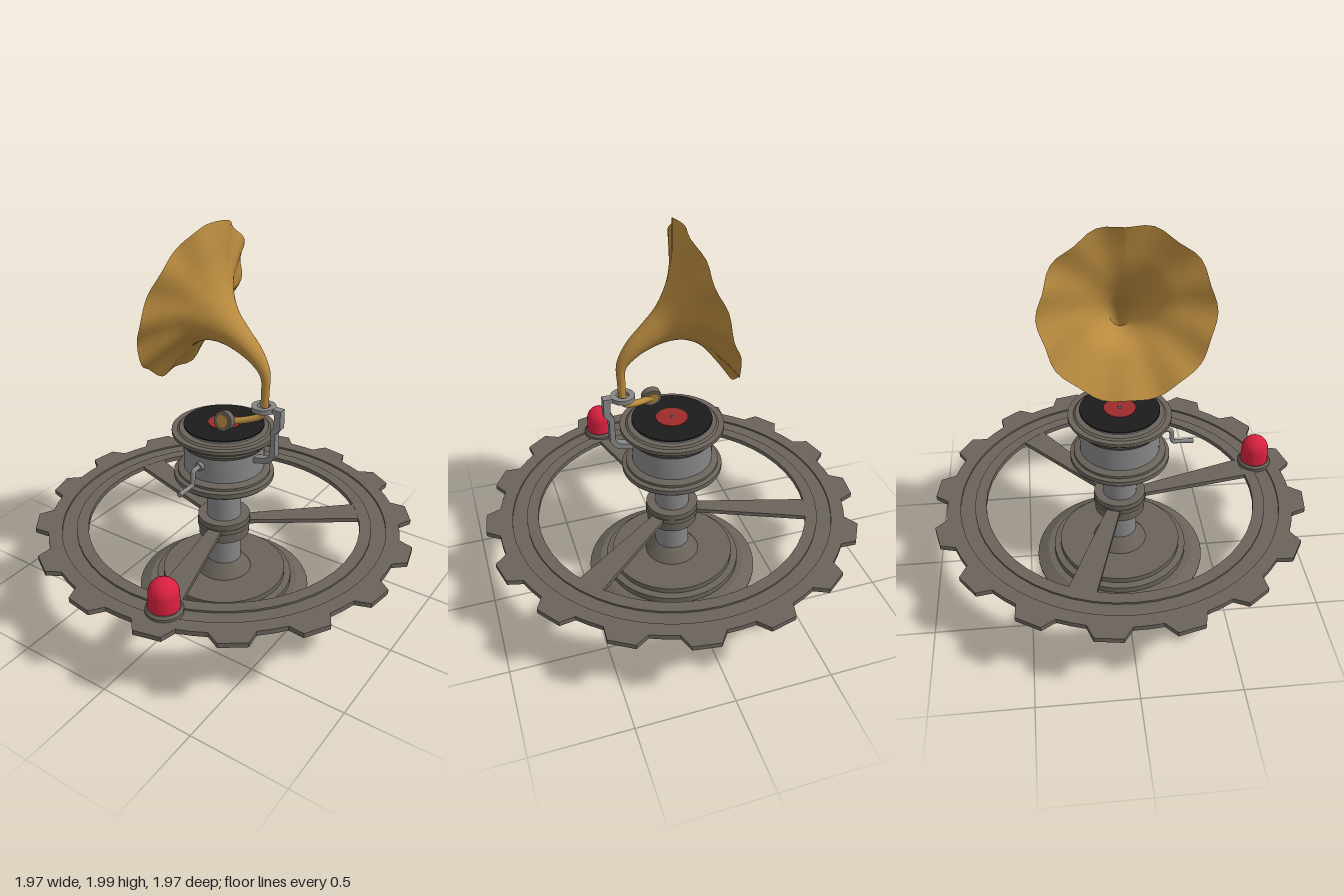
import * as THREE from 'three';
import { toCreasedNormals } from 'three/addons/utils/BufferGeometryUtils.js';

const paint = (color, side = THREE.FrontSide) => new THREE.MeshStandardMaterial({ color, side });
const V2 = (x, y) => new THREE.Vector2(x, y);
const V3 = (x, y, z) => new THREE.Vector3(x, y, z);

export function createModel() {
  const model = new THREE.Group();
  const iron = paint(0x6a635b), steel = paint(0x868686), brass = paint(0xb88a3e);
  const hornBrass = paint(0xb88a3e, THREE.DoubleSide);
  const red = paint(0xd8203f), black = paint(0x1c1c1c), labelRed = paint(0x9c2a2a);

  const add = (name, geometry, material, x = 0, y = 0, z = 0) => {
    const mesh = new THREE.Mesh(geometry, material);
    mesh.name = name;
    mesh.position.set(x, y, z);
    model.add(mesh);
    return mesh;
  };
  // Turned part with crisp edges; the profile runs from bottom to top
  const lathe = (name, profile, material, x = 0, y = 0, z = 0, crease = 0.5) => add(name,
    toCreasedNormals(new THREE.LatheGeometry(profile.map(p => V2(...p)), 48), crease), material, x, y, z);
  // Flat plate cut from an outline and laid on the xz plane
  const plate = (name, shape, y, height, material, x = 0, z = 0) => {
    const g = new THREE.ExtrudeGeometry(shape, { depth: height, bevelEnabled: false, curveSegments: 40 });
    return add(name, g.rotateX(-Math.PI / 2), material, x, y, z);
  };
  const tube = (name, points, radius, material, tension = 0.5) => add(name, new THREE.TubeGeometry(
    new THREE.CatmullRomCurve3(points, false, 'catmullrom', tension), 40, radius, 12), material);

  // Pedestal
  lathe('base', [[0, 0], [0.46, 0], [0.46, 0.008], [0.4, 0.042], [0.365, 0.042], [0.365, 0.075], [0.33, 0.08],
    [0.33, 0.11], [0.145, 0.11], [0.14, 0.12], [0.09, 0.182], [0, 0.182]], iron);
  lathe('column', [[0.09, 0.17], [0.09, 0.7]], steel);
  lathe('hub', [[0.09, 0.34], [0.133, 0.34], [0.133, 0.395], [0.14, 0.395], [0.14, 0.42], [0.137, 0.42],
    [0.137, 0.45], [0.09, 0.45]], iron);

  // Gear wheel: toothed rim, grooved inner band and tapered spokes
  const polar = (r, degrees) => V2(r * Math.cos(degrees * Math.PI / 180), r * Math.sin(degrees * Math.PI / 180));
  const outline = [];
  for (let i = 0; i < 16; i++) {
    const a = 81.5 + i * 22.5;
    outline.push(polar(0.92, a - 6.7), polar(0.988, a - 4), polar(0.988, a + 4), polar(0.92, a + 6.7), polar(0.92, a + 11.25));
  }
  const rim = new THREE.Shape(outline);
  rim.holes.push(new THREE.Path().absarc(0, 0, 0.85, 0, Math.PI * 2, true));
  plate('gearRim', rim, 0.392, 0.025, iron);
  lathe('gearBand', [[0.855, 0.392], [0.855, 0.407], [0.775, 0.407], [0.775, 0.417], [0.715, 0.417], [0.715, 0.392],
    [0.855, 0.392]], iron);
  for (const degrees of [-77, 160, 39]) {
    const spoke = new THREE.Shape([V2(0.1, -0.033), V2(0.74, -0.072), V2(0.74, 0.072), V2(0.1, 0.033)]);
    plate('spoke', spoke, 0.393, 0.023, iron).rotation.y = degrees * Math.PI / 180;
  }

  // Warning lamp on the rim
  lathe('lampBase', [[0.09, 0.41], [0.09, 0.43], [0.08, 0.442], [0, 0.442]], iron, 0.205, 0, 0.783);
  const dome = [[0.075, 0.44], [0.073, 0.515]];
  for (let i = 1; i <= 8; i++) {
    const a = i * Math.PI / 16;
    dome.push([0.073 * Math.cos(a), 0.515 + 0.075 * Math.sin(a)]);
  }
  lathe('lampDome', dome, red, 0.205, 0, 0.783, 0.8);

  // Turntable case
  lathe('caseFoot', [[0, 0.682], [0.25, 0.682], [0.258, 0.69], [0.258, 0.715], [0.238, 0.722], [0.238, 0.735],
    [0.21, 0.748], [0.2, 0.748]], iron);
  lathe('caseWall', [[0.206, 0.74], [0.206, 0.89]], steel);
  lathe('caseTop', [[0.2, 0.88], [0.21, 0.88], [0.225, 0.9], [0.225, 0.915], [0.243, 0.92], [0.25, 0.938],
    [0.264, 0.938], [0.264, 0.956], [0.235, 0.956], [0.225, 0.965], [0, 0.965]], iron);
  lathe('platter', [[0.195, 0.96], [0.195, 0.975], [0, 0.975]], steel);
  lathe('record', [[0.18, 0.975], [0.204, 0.978], [0.204, 0.985], [0, 0.985]], black);
  lathe('recordLabel', [[0.08, 0.984], [0.08, 0.988], [0, 0.988]], labelRed);
  lathe('spindle', [[0.008, 0.98], [0.008, 1.0], [0, 1.004]], steel);

  // Winding crank
  tube('crankArm', [V3(0, 0.83, 0.2), V3(0, 0.83, 0.25), V3(0, 0.825, 0.266), V3(0, 0.81, 0.27), V3(0, 0.77, 0.274),
    V3(0, 0.756, 0.28), V3(0, 0.752, 0.3)], 0.012, steel);
  add('crankBoss', new THREE.CylinderGeometry(0.022, 0.022, 0.025, 20).rotateX(Math.PI / 2), steel, 0, 0.83, 0.213);
  add('crankHandle', new THREE.CylinderGeometry(0.013, 0.01, 0.1, 16).rotateX(Math.PI / 2), steel, 0, 0.752, 0.335);

  // Horn bracket
  const bracket = new THREE.Shape([[0.28, 1.13], [0.313, 1.13], [0.313, 1.065], [0.295, 1.035], [0.295, 0.91], [0.285, 0.89],
    [0.265, 0.877], [0.2, 0.862], [0.2, 0.833], [0.275, 0.848], [0.305, 0.868], [0.322, 0.9], [0.322, 1.025], [0.348, 1.055],
    [0.348, 1.153], [0.28, 1.153]].map(p => V2(...p)));
  add('hornBracket', new THREE.ExtrudeGeometry(bracket, { depth: 0.04, bevelEnabled: false }), steel);
  const clamp = new THREE.Shape().absarc(0, 0, 0.06, 0, Math.PI * 2, false);
  clamp.holes.push(new THREE.Path().absarc(0, 0, 0.032, 0, Math.PI * 2, true));
  plate('hornClamp', clamp, 1.13, 0.024, steel, 0.245, 0.022);

  // Horn: rings spanned between a lower and an upper edge line, scalloped near the mouth
  const edge = points => new THREE.CatmullRomCurve3(points.map(p => V3(p[0], p[1], 0)));
  const lower = edge([[0.227, 1.13], [0.23, 1.22], [0.226, 1.3], [0.18, 1.355], [0.1, 1.402], [0.02, 1.427],
    [-0.05, 1.43], [-0.13, 1.397], [-0.205, 1.315], [-0.28, 1.215]]);
  const upper = edge([[0.267, 1.13], [0.27, 1.22], [0.27, 1.33], [0.22, 1.43], [0.135, 1.52], [0.065, 1.595],
    [0.005, 1.7], [-0.025, 1.8], [-0.04, 1.9], [-0.055, 1.99]]);
  const rows = 54, sides = 60, positions = [], index = [];
  for (let i = 0; i <= rows; i++) {
    const t = i / rows, lo = lower.getPoint(t), hi = upper.getPoint(t);
    const half = hi.clone().sub(lo).multiplyScalar(0.5), center = lo.add(hi).multiplyScalar(0.5);
    const r = half.length(), axis = V3(-half.y, half.x, 0).normalize();
    const wave = Math.pow(Math.max(0, (t - 0.6) / 0.4), 2);
    for (let j = 0; j <= sides; j++) {
      const a = j / sides * Math.PI * 2, w = wave * Math.cos(10 * a), k = 1 - 0.022 * w;
      const p = center.clone().addScaledVector(half, Math.cos(a) * k).addScaledVector(axis, 0.01 * w);
      positions.push(p.x, p.y, 0.02 + r * k * Math.sin(a));
      if (i < rows && j < sides) {
        const q = i * (sides + 1) + j, n = q + sides + 1;
        index.push(q, n, q + 1, q + 1, n, n + 1);
      }
    }
  }
  const horn = new THREE.BufferGeometry();
  horn.setAttribute('position', new THREE.Float32BufferAttribute(positions, 3));
  horn.setIndex(index);
  horn.computeVertexNormals();
  // The winding must face outward: compare a throat normal with its radial direction
  if (horn.attributes.normal.getX(15) * (positions[45] - 0.247) + horn.attributes.normal.getZ(15) * (positions[47] - 0.02) < 0) {
    for (let i = 0; i < index.length; i += 3) [index[i], index[i + 1]] = [index[i + 1], index[i]];
    horn.setIndex(index);
    horn.computeVertexNormals();
  }
  add('horn', horn, hornBrass);

  // Tone arm and sound box
  tube('toneArm', [V3(0.247, 1.16, 0.02), V3(0.245, 1.12, 0.022), V3(0.225, 1.09, 0.03), V3(0.17, 1.07, 0.055),
    V3(0.12, 1.06, 0.08), V3(0.078, 1.057, 0.1)], 0.017, brass);
  const soundBox = new THREE.Group();
  soundBox.name = 'soundBox';
  soundBox.position.set(0.075, 1.06, 0.108);
  soundBox.rotation.x = Math.PI / 2 - 0.2;
  const shell = new THREE.Mesh(new THREE.CylinderGeometry(0.05, 0.05, 0.034, 32), iron);
  shell.name = 'soundBoxShell';
  const cap = new THREE.Mesh(new THREE.CylinderGeometry(0.032, 0.032, 0.04, 32), brass);
  cap.name = 'soundBoxCap';
  soundBox.add(shell, cap);
  model.add(soundBox);

  return model;
}
